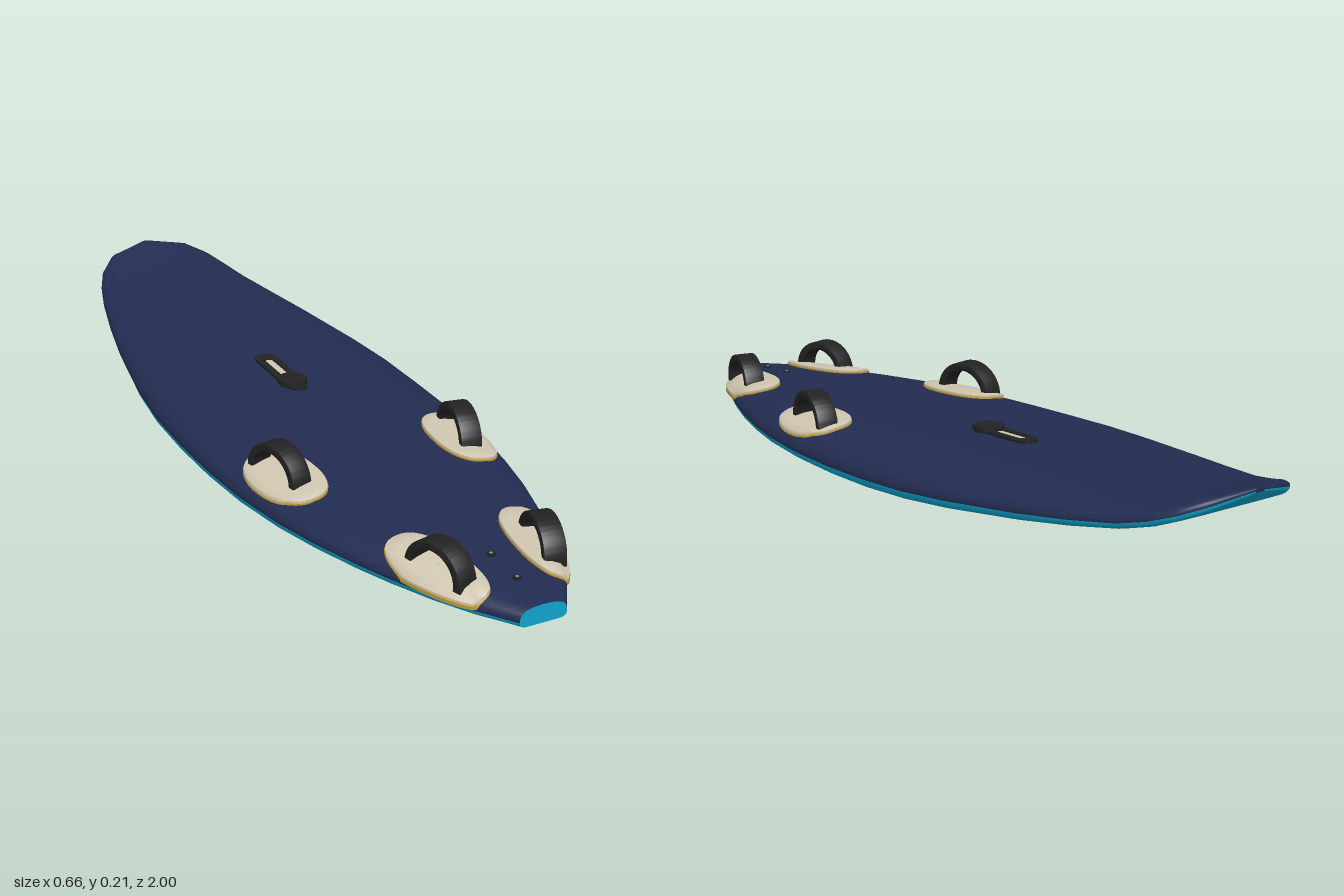
import * as THREE from 'three';
import { toCreasedNormals } from 'three/addons/utils/BufferGeometryUtils.js';

// Hull stations: z, half width, bottom y, top y (nose at -z, tail at +z)
const STATIONS = [
  [-1, 0.012, 0.196, 0.207], [-0.97, 0.117, 0.168, 0.2], [-0.925, 0.16, 0.143, 0.187],
  [-0.87, 0.187, 0.12, 0.172], [-0.8, 0.21, 0.1, 0.158], [-0.68, 0.242, 0.079, 0.147],
  [-0.55, 0.272, 0.061, 0.138], [-0.34, 0.31, 0.037, 0.126], [-0.2, 0.326, 0.024, 0.119],
  [-0.05, 0.33, 0.013, 0.112], [0.1, 0.329, 0.008, 0.104], [0.25, 0.321, 0.006, 0.096],
  [0.4, 0.3, 0.005, 0.088], [0.52, 0.272, 0.004, 0.082], [0.64, 0.235, 0.003, 0.076],
  [0.73, 0.202, 0.003, 0.07], [0.74, 0.198, 0.003, 0.069], [0.83, 0.16, 0.003, 0.062],
  [0.92, 0.112, 0.003, 0.055], [1, 0.057, 0.003, 0.046],
];
// Half cross-section from keel to deck centre; the colour seam is at SEAM
const SECTION = [
  [0, 0], [0.55, 0], [0.88, 0.012], [0.95, 0.06], [0.985, 0.14], [1, 0.29], [1, 0.42],
  [0.97, 0.58], [0.9, 0.74], [0.75, 0.87], [0.5, 0.955], [0.25, 0.99], [0, 1],
];
const SEAM = 5;
const LOOP = SECTION.map(([x, y], k) => [x, y, k]);
for (let k = SECTION.length - 2; k > 0; k--) LOOP.push([-SECTION[k][0], SECTION[k][1], k]);

function lerpTable(table, v, col) {
  let i = 1;
  while (i < table.length - 1 && table[i][0] < v) i++;
  const a = table[i - 1], b = table[i];
  return THREE.MathUtils.mapLinear(v, a[0], b[0], a[col], b[col]);
}
const DECK = SECTION.slice(6).reverse();

// Height of the deck surface at a point
function deckY(x, z) {
  const w = lerpTable(STATIONS, z, 1), lo = lerpTable(STATIONS, z, 2), hi = lerpTable(STATIONS, z, 3);
  return lo + (hi - lo) * lerpTable(DECK, Math.min(Math.abs(x) / w, 0.999), 1);
}

function stationLoop([z, w, lo, hi]) {
  return LOOP.map(([fx, fy, k]) => {
    const cut = z > 0.735 && k < SEAM - 1 ? 0.94 : 1; // tail cut-out under the rail
    return [fx * w * cut, lo + (hi - lo) * fy, z];
  });
}

function buildGeometry(positions, index) {
  const g = new THREE.BufferGeometry();
  g.setAttribute('position', new THREE.Float32BufferAttribute(positions.flat(), 3));
  g.setIndex(index);
  g.computeVertexNormals();
  return g;
}

function hullGeometry() {
  const n = LOOP.length, under = [], upper = [];
  for (let i = 0; i < STATIONS.length - 1; i++) {
    for (let j = 0; j < n; j++) {
      const a = i * n + j, b = i * n + (j + 1) % n, c = a + n, d = b + n;
      const below = j < SEAM || j >= n - SEAM;
      (below ? under : upper).push(a, b, c, b, d, c);
    }
  }
  const g = buildGeometry(STATIONS.map(stationLoop).flat(), [...under, ...upper]);
  g.addGroup(0, under.length, 0);
  g.addGroup(under.length, upper.length, 1);
  return g;
}

function capGeometry(station, flip) {
  const index = [];
  for (let j = 1; j < LOOP.length - 1; j++) index.push(0, flip ? j + 1 : j, flip ? j : j + 1);
  return buildGeometry(stationLoop(station), index);
}

// Egg-shaped layer that follows the deck, between two heights above it
function padGeometry(side, p, scale, y0, y1) {
  const N = 40, radii = [1, 1, 0.97, 0.75, 0.5, 0.25, 0.02], pos = [], index = [];
  const c = Math.cos(p.yaw * side), s = Math.sin(p.yaw * side);
  radii.forEach((r, k) => {
    for (let j = 0; j < N; j++) {
      const t = (j / N) * Math.PI * 2, round = (v) => Math.sign(v) * Math.abs(v) ** 0.85;
      const lz = round(Math.sin(t));
      const u = round(Math.cos(t)) * p.w * (1 - p.taper * lz) * r * scale, v = lz * p.l * r * scale;
      const x = side * p.x + u * c - v * s, z = p.z + u * s + v * c;
      pos.push([x, deckY(x, z) + (k === 0 ? y0 : y1 - (k === 1 ? 0.002 : 0)), z]);
      if (k > 0) {
        const a = (k - 1) * N + j, b = (k - 1) * N + (j + 1) % N;
        index.push(a, a + N, b, b, a + N, b + N);
      }
    }
  });
  return toCreasedNormals(buildGeometry(pos, index), 0.7);
}

// Arched band
function strapGeometry(halfLength, height, width) {
  const t = 0.02, drop = 0.012;
  const shape = new THREE.Shape();
  shape.moveTo(halfLength, -drop);
  shape.lineTo(halfLength, 0);
  shape.absellipse(0, 0, halfLength, height, 0, Math.PI, false);
  shape.lineTo(-halfLength, -drop);
  shape.lineTo(-halfLength + t, -drop);
  shape.absellipse(0, 0, halfLength - t, height - t, Math.PI, 0, true);
  shape.lineTo(halfLength - t, -drop);
  const bevel = 0.004;
  const g = new THREE.ExtrudeGeometry(shape, {
    depth: width - 2 * bevel, curveSegments: 20, bevelThickness: bevel, bevelSize: 0.003,
    bevelOffset: -0.003, bevelSegments: 2,
  });
  g.translate(0, 0, -width / 2 + bevel);
  return toCreasedNormals(g, 0.6);
}

// Rounded slot outline lying on the deck
function slotGeometry(width, length, depth, hole) {
  const outline = (S, w, l) => {
    const s = new S(), r = w / 2, h = l / 2 - r;
    s.absarc(0, h, r, 0, Math.PI, false);
    s.absarc(0, -h, r, Math.PI, Math.PI * 2, false);
    s.closePath();
    return s;
  };
  const shape = outline(THREE.Shape, width, length);
  if (hole) shape.holes.push(outline(THREE.Path, hole[0], hole[1]));
  return new THREE.ExtrudeGeometry(shape, { depth, bevelEnabled: false, curveSegments: 14 }).rotateX(-Math.PI / 2);
}

export function createModel() {
  const material = (name, color) => Object.assign(new THREE.MeshStandardMaterial({ color }), { name });
  const navy = material('navy deck', 0x222c50);
  const cyan = material('cyan underside', 0x0fa3cc);
  const cream = material('cream pad', 0xcfc6b0);
  const gold = material('gold pad edge', 0xc09a3c);
  const black = material('black webbing', 0x222222);
  const grey = material('grey metal', 0x8a8d92);

  const board = new THREE.Group();
  board.name = 'sailboard';
  const add = (name, geometry, mat, x = 0, y = 0, z = 0) => {
    const m = new THREE.Mesh(geometry, mat);
    m.name = name;
    m.position.set(x, y, z);
    board.add(m);
    return m;
  };

  // Hull
  add('hull', hullGeometry(), [cyan, navy]);
  add('tailFace', capGeometry(STATIONS[STATIONS.length - 1], false), cyan);
  add('noseFace', capGeometry(STATIONS[0], true), navy);

  // Foot pads and straps
  const pads = [
    { name: 'front', x: 0.228, z: 0.305, w: 0.072, l: 0.125, taper: 0.05, yaw: 0.1,
      sx: 0.236, sz: 0.288, sYaw: 0.185, half: 0.086, h: 0.08 },
    { name: 'rear', x: 0.122, z: 0.79, w: 0.058, l: 0.14, taper: 0.22, yaw: 0.23,
      sx: 0.126, sz: 0.803, sYaw: 0.23, half: 0.082, h: 0.075 },
  ];
  for (const p of pads) {
    for (const side of [1, -1]) {
      const label = p.name + (side > 0 ? 'Left' : 'Right');
      add(label + 'PadEdge', padGeometry(side, p, 1, -0.004, 0.006), gold);
      add(label + 'Pad', padGeometry(side, p, 0.985, 0.003, 0.011), cream);
      const strap = add(label + 'Strap', strapGeometry(p.half, p.h, 0.052), black,
        side * p.sx, deckY(p.sx, p.sz), side ? p.sz : 0);
      strap.rotation.y = -Math.PI / 2 - side * p.sYaw;
    }
  }

  // Mast track and mast foot
  const trackY = deckY(0, -0.19);
  add('mastTrack', slotGeometry(0.056, 0.17, 0.009, [0.02, 0.1]), black, 0, trackY - 0.003, -0.19).rotation.x = 0.05;
  add('mastTrackSlot', slotGeometry(0.03, 0.11, 0.004), cream, 0, trackY - 0.001, -0.19).rotation.x = 0.05;
  add('mastFoot', new THREE.CylinderGeometry(0.036, 0.036, 0.018, 28), black, 0, deckY(0, -0.105) + 0.003, -0.105);
  add('mastFootTab', new THREE.CylinderGeometry(0.024, 0.024, 0.01, 24), black, 0, deckY(0, -0.075), -0.077);

  // Fin bolts and fin box
  for (const z of [0.8, 0.9]) {
    add('finBolt', new THREE.CylinderGeometry(0.01, 0.01, 0.008, 16), black, 0, deckY(0, z), z);
    add('finBoltHead', new THREE.CylinderGeometry(0.004, 0.004, 0.004, 12), grey, 0, deckY(0, z) + 0.003, z);
  }
  add('finBox', new THREE.BoxGeometry(0.03, 0.005, 0.19), black, 0, 0.0025, 0.84);

  return board;
}
